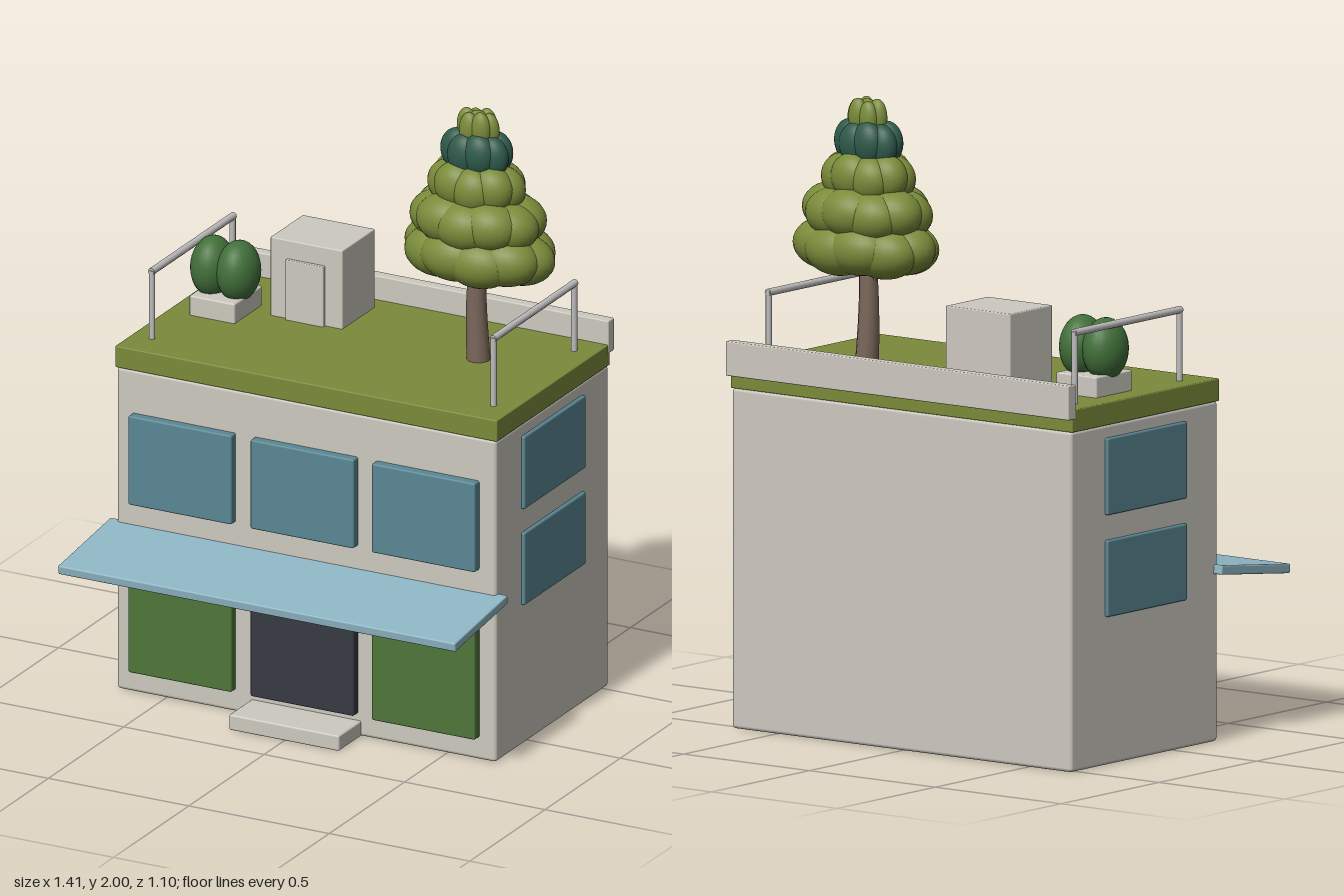
import * as THREE from 'three';
import { RoundedBoxGeometry } from 'three/addons/geometries/RoundedBoxGeometry.js';

const mat = (name, color) => {
  const m = new THREE.MeshStandardMaterial({ color });
  m.name = name;
  return m;
};

export function createModel() {
  const model = new THREE.Group();
  model.name = 'gardenRoofBuilding';

  const wall = mat('warm stone', 0xcdc9c0);
  const olive = mat('olive green', 0x7a8b3a);
  const glass = mat('window blue', 0x5a8794);
  const canopy = mat('awning blue', 0x8fb6c4);
  const shutter = mat('shutter green', 0x4f7639);
  const dark = mat('dark door', 0x363a42);
  const metal = mat('rail metal', 0xbfbdbd);
  const bushGreen = mat('bush green', 0x42703a);
  const teal = mat('deep teal', 0x2f5a4b);
  const bark = mat('bark', 0x7a675b);

  const add = (name, geometry, material, parent = model) => {
    const mesh = new THREE.Mesh(geometry, material);
    mesh.name = name;
    parent.add(mesh);
    return mesh;
  };
  // Softened box given by its limits on each axis
  const box = (name, material, [x0, x1], [y0, y1], [z0, z1], r = 0.006) => {
    const mesh = add(name, new RoundedBoxGeometry(x1 - x0, y1 - y0, z1 - z0, 2, r), material);
    mesh.position.set((x0 + x1) / 2, (y0 + y1) / 2, (z0 + z1) / 2);
    return mesh;
  };
  const ellipsoid = (name, material, pos, size, parent = model) => {
    const mesh = add(name, new THREE.SphereGeometry(1, 24, 16), material, parent);
    mesh.position.set(...pos);
    mesh.scale.set(...size);
    return mesh;
  };

  // Building shell
  box('walls', wall, [-0.675, 0.675], [0.005, 1.09], [-0.53, 0.22], 0.012);
  box('roofLawn', olive, [-0.68, 0.68], [1.088, 1.16], [-0.53, 0.222], 0.004);
  box('rearParapet', wall, [-0.682, 0.682], [1.13, 1.24], [-0.553, -0.515], 0.004);
  box('doorStep', wall, [-0.197, 0.195], [0.005, 0.057], [0.2, 0.367]);

  // Front openings: upper windows above shutters and the door
  [-0.435, 0, 0.432].forEach((x, i) => {
    const span = [x - 0.184, x + 0.184];
    box('upperWindow', glass, span, [0.645, 0.945], [0.2, 0.25]);
    box(i === 1 ? 'frontDoor' : 'shopShutter', i === 1 ? dark : shutter, span, [0.08, 0.472], [0.2, 0.25]);
  });

  // Side windows, both ends
  for (const s of [-1, 1]) {
    for (const [y0, y1] of [[0.478, 0.722], [0.802, 1.047]]) {
      const xs = s > 0 ? [0.65, 0.687] : [-0.687, -0.65];
      box('sideWindow', glass, xs, [y0, y1], [-0.357, 0.05]);
    }
  }

  // Sloping awning
  const awning = box('awning', canopy, [-0.707, 0.707], [0.519, 0.549], [0.198, 0.552], 0.005);
  awning.rotation.x = 0.12;

  // Roof railings, one at each end
  for (const s of [-1, 1]) {
    const rail = new THREE.Group();
    rail.name = 'railing';
    rail.position.x = s * 0.608;
    for (const z of [0.11, -0.425]) {
      const post = add('railPost', new THREE.CylinderGeometry(0.01, 0.01, 0.235, 12), metal, rail);
      post.position.set(0, 1.272, z);
    }
    const bar = add('railBar', new THREE.CylinderGeometry(0.012, 0.012, 0.546, 12), metal, rail);
    bar.rotation.x = Math.PI / 2;
    bar.position.set(0, 1.386, -0.158);
    model.add(rail);
  }

  // Roof access hut with its door
  box('roofHut', wall, [-0.375, -0.118], [1.155, 1.424], [-0.456, -0.24], 0.004);
  box('roofHutDoor', wall, [-0.315, -0.18], [1.155, 1.362], [-0.26, -0.227], 0.003);

  // Planter with a double bush
  box('planter', wall, [-0.6, -0.438], [1.155, 1.226], [-0.305, -0.121]);
  for (const x of [-0.565, -0.473]) {
    ellipsoid('bush', bushGreen, [x, 1.301, -0.213], [0.068, 0.1, 0.082]);
  }

  // Tree trunk with a bowed stem and a short branch
  const tree = new THREE.Group();
  tree.name = 'tree';
  model.add(tree);
  const stem = new THREE.CylinderGeometry(0.026, 0.038, 0.4, 12, 6);
  const p = stem.attributes.position;
  for (let i = 0; i < p.count; i++) p.setX(i, p.getX(i) - 0.008 * Math.sin((p.getY(i) + 0.2) * 8));
  stem.computeVertexNormals();
  add('trunk', stem, bark, tree).position.set(0.378, 1.355, -0.22);
  const branch = add('branch', new THREE.CylinderGeometry(0.01, 0.014, 0.14, 8), bark, tree);
  branch.position.set(0.35, 1.43, -0.22);
  branch.rotation.z = 0.45;

  // Foliage tiers: rings of overlapping lobes
  // [x, y, half width, half height, half depth, lobe count, material]
  const tiers = [
    [0.384, 1.53, 0.26, 0.088, 0.176, 10, olive],
    [0.378, 1.642, 0.228, 0.085, 0.168, 10, olive],
    [0.375, 1.755, 0.167, 0.078, 0.118, 9, olive],
    [0.373, 1.86, 0.123, 0.073, 0.08, 8, teal],
    [0.378, 1.94, 0.074, 0.062, 0.05, 6, olive],
  ];
  tiers.forEach(([x, y, w, h, d, count, material], t) => {
    const tier = new THREE.Group();
    tier.name = 'foliageTier';
    tier.position.set(x, y, -0.217);
    tree.add(tier);
    for (let i = 0; i < count; i++) {
      const a = ((i + (t % 2) * 0.5) / count) * Math.PI * 2;
      const pos = [Math.cos(a) * w * 0.54, (i % 2 ? 0.05 : -0.05) * h, Math.sin(a) * d * 0.5];
      ellipsoid('foliageLobe', material, pos, [w * 0.46, h * 0.95, d * 0.5], tier);
    }
    ellipsoid('foliageCore', material, [0, 0, 0], [w * 0.6, h * 0.95, d * 0.6], tier);
  });

  return model;
}
